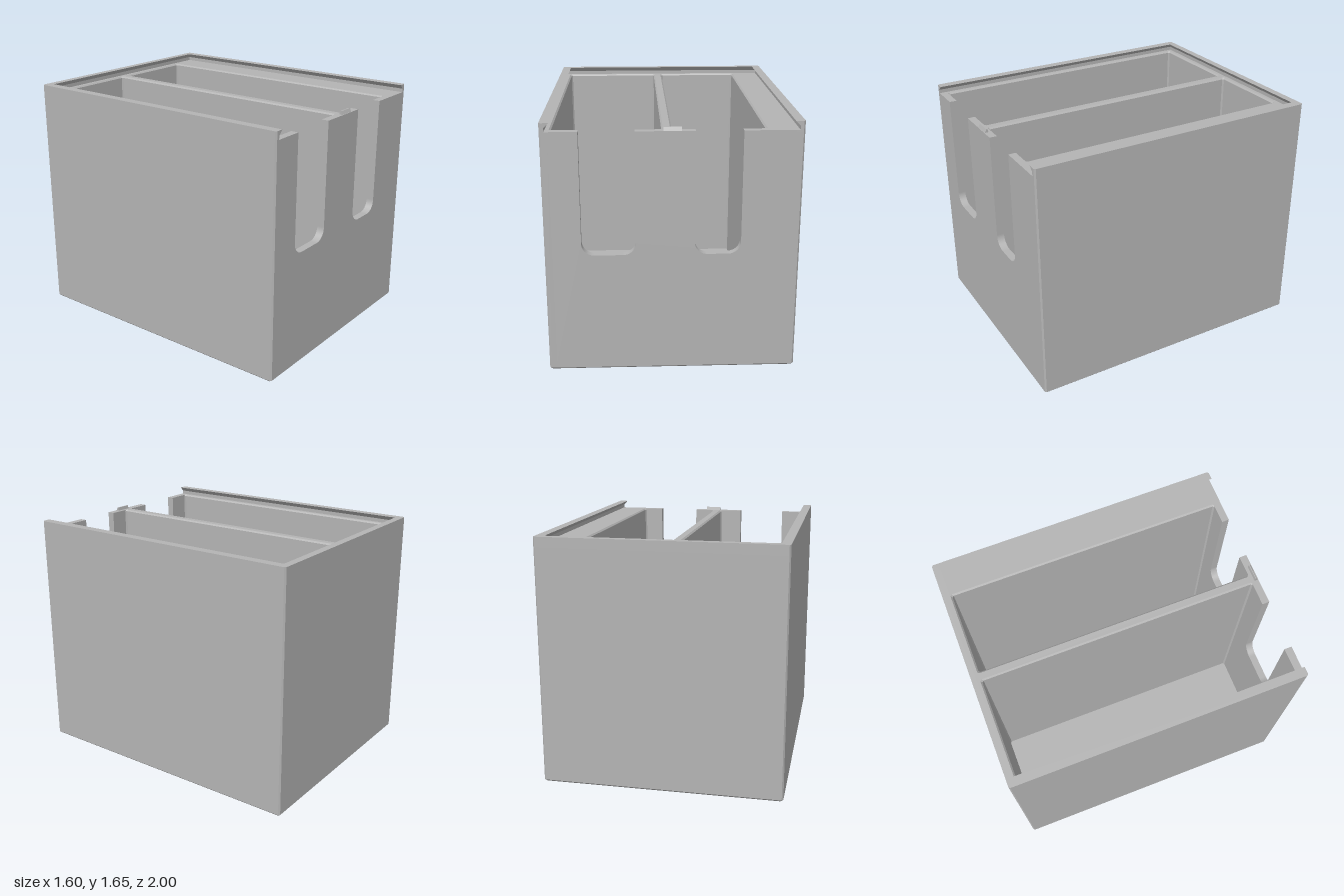
import * as THREE from 'three';

// Closed solid through horizontal outlines; each level is [y, [[x, z], ...]], counter-clockwise from above
function loft(levels) {
  const pos = [];
  const put = (level, i) => pos.push(level[1][i][0], level[0], level[1][i][1]);
  const n = levels[0][1].length;
  for (let k = 0; k + 1 < levels.length; k++) {
    const a = levels[k], b = levels[k + 1];
    for (let i = 0; i < n; i++) {
      const j = (i + 1) % n;
      put(a, i); put(a, j); put(b, j);
      put(a, i); put(b, j); put(b, i);
    }
  }
  const cap = (level, flip) => {
    const pts = level[1].map(([x, z]) => new THREE.Vector2(x, -z));
    for (const [a, b, c] of THREE.ShapeUtils.triangulateShape(pts, [])) {
      put(level, a); put(level, flip ? c : b); put(level, flip ? b : c);
    }
  };
  cap(levels[0], true);
  cap(levels[levels.length - 1], false);
  const g = new THREE.BufferGeometry();
  g.setAttribute('position', new THREE.Float32BufferAttribute(pos, 3));
  g.computeVertexNormals();
  return g;
}

// Rectangle with clipped corners
function clippedRect(hx, hz, c) {
  return [[-hx + c, hz], [hx - c, hz], [hx, hz - c], [hx, -hz + c],
    [hx - c, -hz], [-hx + c, -hz], [-hx, -hz + c], [-hx, hz - c]];
}

// Outer edge running from the front right corner round the back to the front left
const outerEdge = [[0.79, 1], [0.8, 0.99], [0.8, -0.99], [0.79, -1],
  [-0.79, -1], [-0.8, -0.99], [-0.8, 0.99], [-0.79, 1]];

// Walls and divider in plan, with both compartments open to the front; e widens the compartments
function wallPlan(e) {
  const bay = (x0, x1) => {
    const a = x0 - e, b = x1 + e, back = -0.94 - e, c = 0.01;
    return [[a + c, 0.95], [a, 0.94], [a, back + c], [a + c, back],
      [b - c, back], [b, back + c], [b, 0.94], [b - c, 0.95]];
  };
  return [[-0.75, 1], [-0.75, 0.95], ...bay(-0.735, -0.067), ...bay(-0.003, 0.57),
    [0.75, 0.95], [0.75, 1], ...outerEdge];
}

// U-shaped rim in plan, open to the front
function rimPlan(x, z) {
  return [[-x, 1], [-x, z], [x, z], [x, 1], ...outerEdge];
}

// Front wall with two rounded finger slots
function frontWall() {
  const top = 1.595, low = 0.8, r = 0.08;
  const s = new THREE.Shape();
  s.moveTo(-0.75, 0.05);
  s.lineTo(0.75, 0.05);
  s.lineTo(0.75, top);
  for (const [l, rt] of [[0.14, 0.43], [-0.57, -0.23]]) {
    s.lineTo(rt, top);
    s.lineTo(rt, low + r);
    s.absarc(rt - r, low + r, r, 0, -Math.PI / 2, true);
    s.absarc(l + r, low + r, r, -Math.PI / 2, -Math.PI, true);
    s.lineTo(l, top);
  }
  s.lineTo(-0.75, top);
  s.closePath();
  return new THREE.ExtrudeGeometry(s, { depth: 0.05, bevelEnabled: false, curveSegments: 10 })
    .translate(0, 0, 0.95);
}

export function createModel() {
  const grey = new THREE.MeshStandardMaterial({ color: 0xb4b4b4 });
  grey.name = 'grey plastic';
  const model = new THREE.Group();
  model.name = 'dividedBox';
  const add = (name, geometry) => {
    const mesh = new THREE.Mesh(geometry, grey);
    mesh.name = name;
    model.add(mesh);
  };

  // Floor with a bevelled lower edge
  add('floor', loft([
    [0, clippedRect(0.788, 0.988, 0.008)],
    [0.012, clippedRect(0.8, 1, 0.01)],
    [0.05, clippedRect(0.8, 1, 0.01)],
  ]));

  // Side and back walls, divider and solid ledge, softened round the compartment mouths
  add('wallsAndDivider', loft([[0.05, wallPlan(0)], [1.585, wallPlan(0)], [1.595, wallPlan(0.01)]]));
  add('frontWall', frontWall());

  // Undercut rim that guides a sliding lid
  add('lidRail', loft([
    [1.595, rimPlan(0.77, -0.975)],
    [1.62, rimPlan(0.77, -0.975)],
    [1.65, rimPlan(0.74, -0.95)],
  ]));

  // Small lid catch on the front wall
  const catchPlan = (z0, z1) => [[-0.055, z1], [0.055, z1], [0.055, z0], [-0.055, z0]];
  add('lidCatch', loft([[1.595, catchPlan(0.972, 0.995)], [1.618, catchPlan(0.977, 0.985)]]));
  return model;
}
